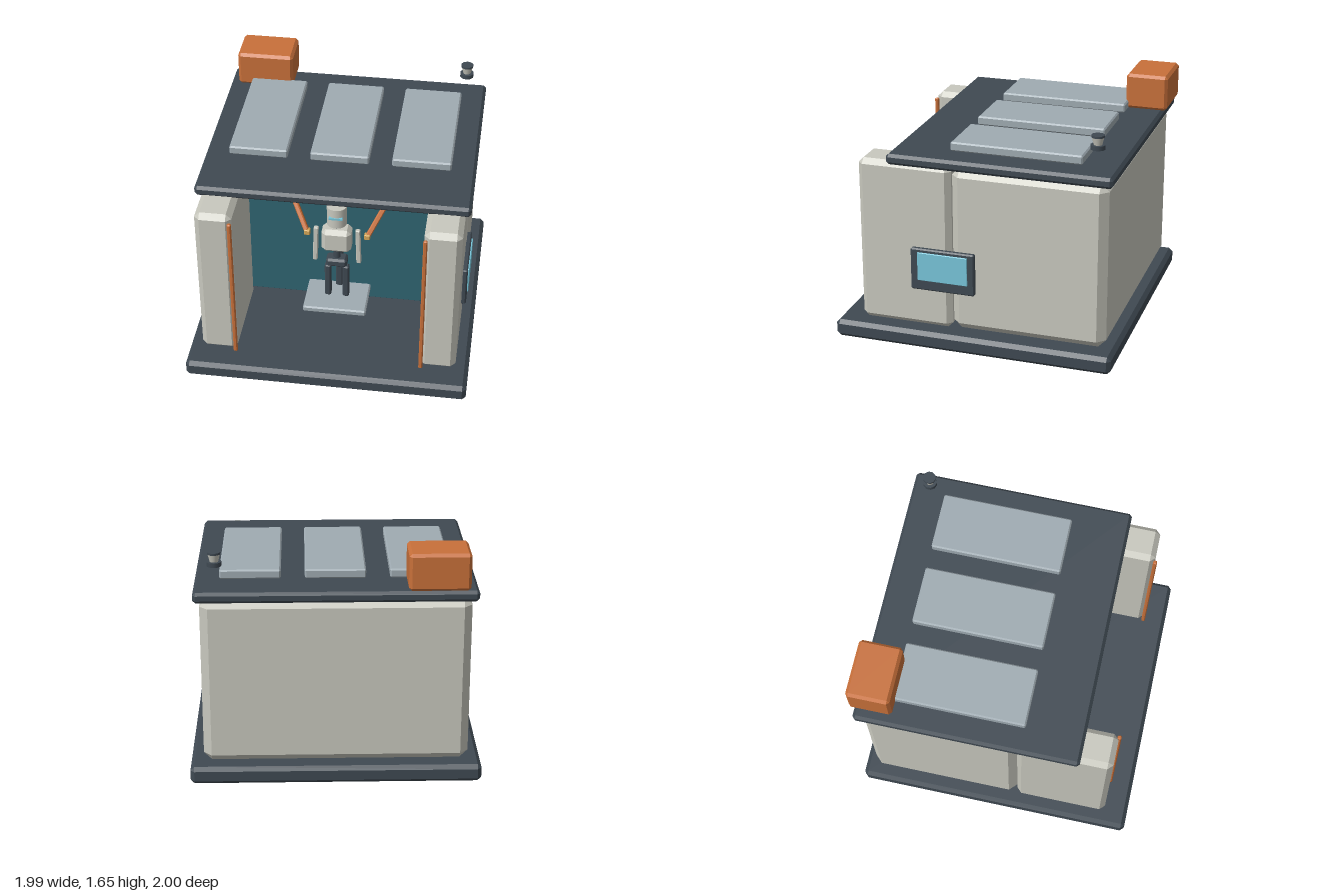
import * as THREE from 'three';
import { ConvexGeometry } from 'three/addons/geometries/ConvexGeometry.js';

const mat = (color) => new THREE.MeshStandardMaterial({ color });
const DARK = mat(0x3f4952), WALL = mat(0xc8c8be), TEAL = mat(0x2f6471), ORANGE = mat(0xc8703a);
const PANEL = mat(0x9fabb2), GLASS = mat(0x78c6da), YELLOW = mat(0xd6a758);

// Box with all edges cut at 45 degrees
function chamferBox(w, h, d, b) {
  const half = [w / 2, h / 2, d / 2], pts = [];
  for (const sx of [-1, 1]) for (const sy of [-1, 1]) for (const sz of [-1, 1])
    for (let k = 0; k < 3; k++) {
      const p = half.map((v, i) => (i === k ? v : v - b));
      pts.push(new THREE.Vector3(p[0] * sx, p[1] * sy, p[2] * sz));
    }
  return new ConvexGeometry(pts);
}

function add(parent, name, geometry, material, x = 0, y = 0, z = 0) {
  const mesh = new THREE.Mesh(geometry, material);
  mesh.name = name;
  mesh.position.set(x, y, z);
  parent.add(mesh);
  return mesh;
}

// Chamfered box given by its extents
function block(parent, name, material, [x0, x1], [y0, y1], [z0, z1], b) {
  return add(parent, name, chamferBox(x1 - x0, y1 - y0, z1 - z0, b), material,
    (x0 + x1) / 2, (y0 + y1) / 2, (z0 + z1) / 2);
}

// Chamfered bar running between two points
function bar(parent, name, material, from, to, width, b) {
  const a = new THREE.Vector3(...from), c = new THREE.Vector3(...to);
  const dir = c.clone().sub(a);
  const mesh = add(parent, name, chamferBox(width, dir.length(), width, b), material);
  mesh.position.copy(a).add(c).multiplyScalar(0.5);
  mesh.quaternion.setFromUnitVectors(new THREE.Vector3(0, 1, 0), dir.normalize());
  return mesh;
}

function createBuilding() {
  const g = new THREE.Group();
  g.name = 'building';
  block(g, 'base', DARK, [-0.995, 0.995], [0, 0.125], [-0.985, 1], 0.027);
  block(g, 'rearBlock', WALL, [-0.905, 0.905], [0.135, 1.315], [-0.92, 0.165], 0.056);
  block(g, 'backPanel', TEAL, [-0.66, 0.66], [0.19, 1.27], [0.15, 0.185], 0.004);
  for (const s of [-1, 1]) {
    add(g, 'sideWall', chamferBox(0.255, 1.185, 0.665, 0.037), WALL, s * 0.777, 0.727, 0.498);
    add(g, 'doorStrip', chamferBox(0.028, 1.135, 0.028, 0.007), ORANGE, s * 0.66, 0.702, 0.833);
  }
  block(g, 'roof', DARK, [-0.943, 0.943], [1.31, 1.385], [-0.96, 0.608], 0.02);

  // Side display
  block(g, 'displayFrame', DARK, [0.9, 0.938], [0.42, 0.725], [-0.013, 0.445], 0.009);
  block(g, 'displayScreen', GLASS, [0.93, 0.948], [0.495, 0.7], [0.035, 0.393], 0.003);
  return g;
}

function createRoofEquipment() {
  const g = new THREE.Group();
  g.name = 'roofEquipment';
  for (const x of [-0.57, 0, 0.57])
    add(g, 'roofPanel', chamferBox(0.41, 0.064, 0.92, 0.01), PANEL, x, 1.426, -0.255);
  block(g, 'roofBox', ORANGE, [-0.88, -0.472], [1.4, 1.655], [-0.997, -0.695], 0.02);

  // Small lamp with base, glass and cap
  const lamp = new THREE.Group();
  lamp.name = 'lamp';
  lamp.position.set(0.8, 1.53, -0.822);
  add(lamp, 'lampBase', new THREE.CylinderGeometry(0.05, 0.05, 0.03, 10), DARK, 0, 0.015);
  add(lamp, 'lampGlass', new THREE.CylinderGeometry(0.042, 0.028, 0.055, 16), WALL, 0, 0.057);
  add(lamp, 'lampCap', new THREE.CylinderGeometry(0.045, 0.045, 0.014, 10), DARK, 0, 0.089);
  g.add(lamp);
  return g;
}

function createFigure() {
  const g = new THREE.Group();
  g.name = 'figure';
  const z = 0.333;
  block(g, 'platform', PANEL, [-0.227, 0.227], [0.265, 0.312], [0.168, 0.5], 0.01);
  block(g, 'supportPole', DARK, [-0.027, 0.027], [0.3, 1.14], [0.175, 0.225], 0.012);

  // Head, neck, torso and hips
  add(g, 'head', new THREE.CylinderGeometry(0.072, 0.07, 0.155, 24), WALL, 0, 1.048, z);
  add(g, 'visor', new THREE.BoxGeometry(0.096, 0.015, 0.03), GLASS, 0, 1.055, z + 0.062);
  add(g, 'neck', new THREE.CylinderGeometry(0.025, 0.025, 0.06, 12), DARK, 0, 0.95, z);
  add(g, 'torso', chamferBox(0.212, 0.19, 0.14, 0.03), WALL, 0, 0.84, z);
  add(g, 'waist', new THREE.CylinderGeometry(0.025, 0.025, 0.1, 12), DARK, 0, 0.705, z);
  add(g, 'hips', chamferBox(0.15, 0.065, 0.1, 0.015), DARK, 0, 0.637, z);

  for (const s of [-1, 1]) {
    add(g, 'leg', chamferBox(0.045, 0.275, 0.055, 0.009), DARK, s * 0.065, 0.458, z);
    bar(g, 'arm', WALL, [s * 0.157, 0.63, z], [s * 0.148, 0.92, z], 0.034, 0.006);

    // Handling arm reaching forward from the back panel
    bar(g, 'handlingArm', ORANGE, [s * 0.22, 0.87, 0.318], [s * 0.372, 1.14, 0.15], 0.036, 0.007);
    add(g, 'gripper', chamferBox(0.042, 0.042, 0.042, 0.005), YELLOW, s * 0.214, 0.863, 0.322);
  }
  return g;
}

export function createModel() {
  const model = new THREE.Group();
  model.name = 'workshopBooth';
  model.add(createBuilding(), createRoofEquipment(), createFigure());
  return model;
}
